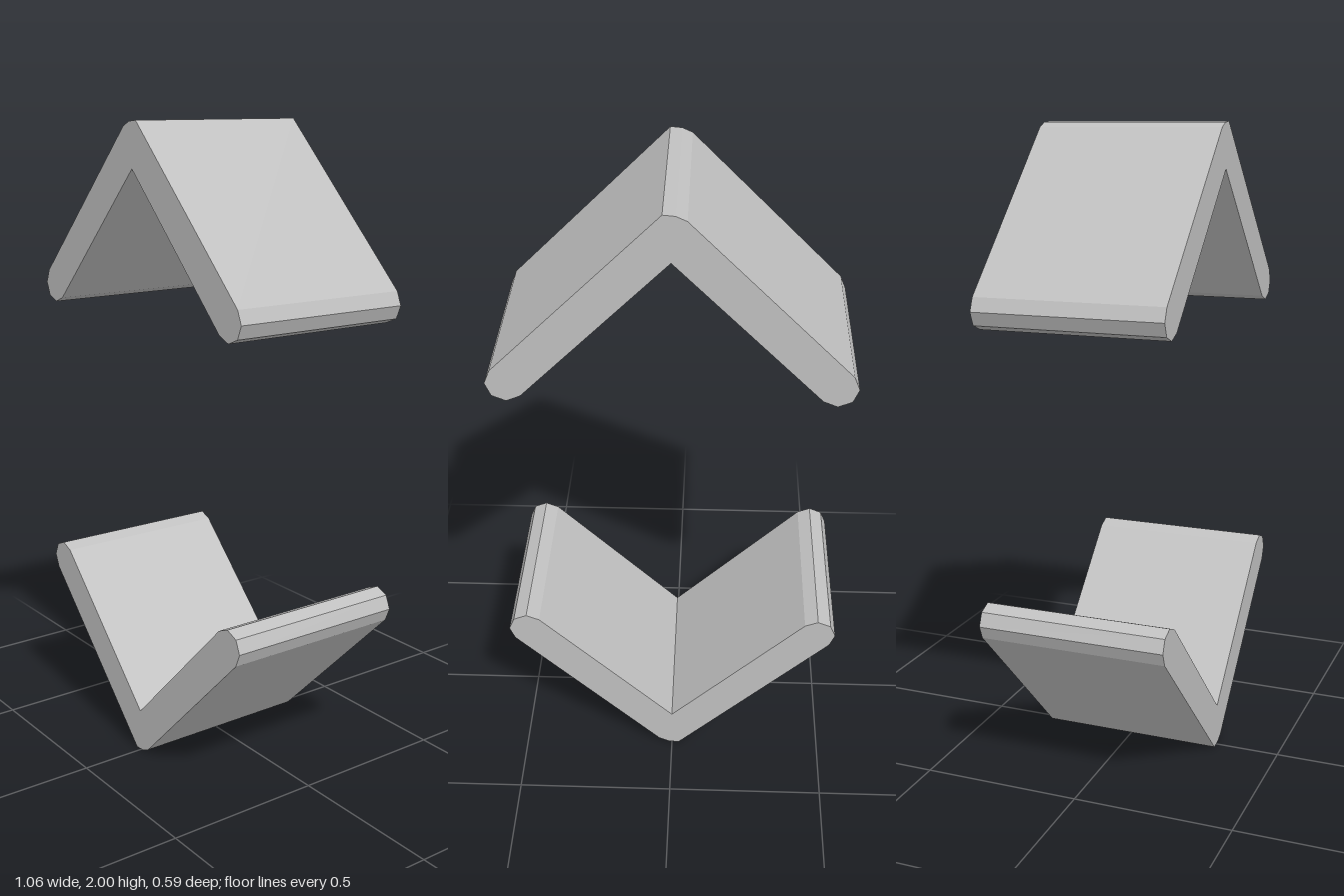
import * as THREE from 'three';

const DEPTH = 0.586; // front to back
const R = 0.058; // half the wall thickness
const END_X = 0.47, END_Y = 1.475; // centre of each rounded arm end

// Half-octagon arm end, listed clockwise from startAngle
function armEnd(cx, startAngle) {
  return Array.from({ length: 5 }, (_, i) => {
    const a = startAngle - (i * Math.PI) / 4;
    return new THREE.Vector2(cx + R * Math.cos(a), END_Y + R * Math.sin(a));
  });
}

// Roof-shaped outline: blunt ridge, two sloping arms, sharp inner corner
function chevronGeometry() {
  const outline = [
    new THREE.Vector2(-0.043, 1.983),
    new THREE.Vector2(-0.012, 1.997),
    new THREE.Vector2(0.023, 2.0),
    ...armEnd(END_X, Math.PI / 4),
    new THREE.Vector2(0, 1.862),
    ...armEnd(-END_X, -Math.PI / 4),
  ];
  const geometry = new THREE.ExtrudeGeometry(new THREE.Shape(outline), {
    depth: DEPTH,
    bevelEnabled: false,
  });
  return geometry.translate(0, 0, -DEPTH / 2);
}

export function createModel() {
  const model = new THREE.Group();
  const grey = new THREE.MeshStandardMaterial({ color: 0xc0c0c0 });
  grey.name = 'light grey';
  grey.flatShading = true;

  // Upper angle bracket
  const upper = new THREE.Mesh(chevronGeometry(), grey);
  upper.name = 'upperChevron';

  // Lower bracket: the same part turned half a turn about the centre
  const lower = new THREE.Mesh(chevronGeometry(), grey);
  lower.name = 'lowerChevron';
  lower.rotation.z = Math.PI;
  lower.position.y = 2;

  model.add(upper, lower);
  return model;
}
